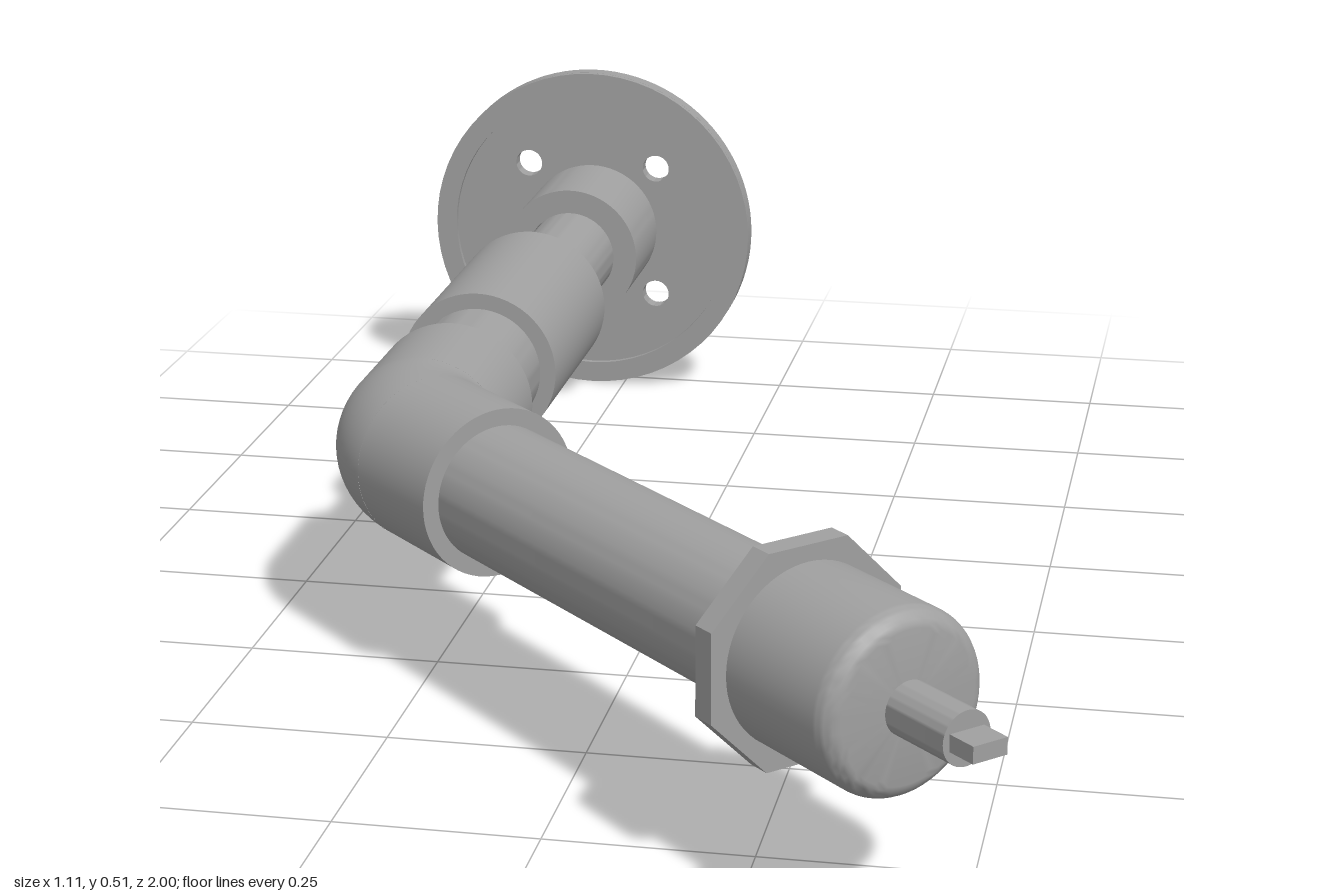
import * as THREE from 'three';
import { toCreasedNormals } from 'three/addons/utils/BufferGeometryUtils.js';

const metal = new THREE.MeshStandardMaterial({ color: 0xa0a0a0 });
metal.name = 'grey metal';

const X = -0.302, Y = 0.255;      // axis of the straight run
const BEND_Z = 0.147;             // where the two pipe axes meet
const ELBOW_R = 0.11;
const HOLES = [[-1, -1], [1, -1], [1, 1], [-1, 1]];

function add(parent, name, geometry) {
  const mesh = new THREE.Mesh(geometry, metal);
  mesh.name = name;
  parent.add(mesh);
  return mesh;
}

// Turned part along z, from [radius, z] pairs
function turned(parent, name, points, sides = 64) {
  const g = new THREE.LatheGeometry(points.map(([r, z]) => new THREE.Vector2(r, z)), sides);
  g.rotateX(Math.PI / 2);
  return add(parent, name, toCreasedNormals(g, 0.6));
}

function rod(parent, name, r, z0, z1) {
  return turned(parent, name, [[0, z0], [r, z0], [r, z1], [0, z1]]);
}

function sleeve(parent, name, r, inner, z0, z1) {
  return turned(parent, name, [[inner, z0], [r, z0], [r, z1], [inner, z1], [inner, z0]]);
}

function circle(PathType, x, y, r) {
  const path = new PathType();
  path.absarc(x, y, r, 0, Math.PI * 2, false);
  return path;
}

export function createModel() {
  const model = new THREE.Group();
  model.name = 'jointed pipe arm';

  // Straight run, along z
  const run = new THREE.Group();
  run.name = 'straight run';
  run.position.set(X, Y, 0);
  model.add(run);

  // Wall flange with a centre bore and four bolt holes
  const disc = circle(THREE.Shape, 0, 0, 0.254);
  disc.holes.push(circle(THREE.Path, 0, 0, 0.068));
  for (const [sx, sy] of HOLES) disc.holes.push(circle(THREE.Path, sx * 0.103, sy * 0.103, 0.021));
  const plate = new THREE.ExtrudeGeometry(disc, { depth: 0.024, bevelEnabled: false, curveSegments: 48 });
  plate.translate(0, 0, -1);
  add(run, 'flange plate', toCreasedNormals(plate, 0.6));
  sleeve(run, 'flange rim', 0.254, 0.222, -0.98, -0.967);
  sleeve(run, 'flange hub', 0.104, 0.068, -0.98, -0.81);

  // Pipes and coupling
  sleeve(run, 'thin pipe', 0.067, 0.052, -0.88, -0.5);
  rod(run, 'coupling', 0.11, -0.54, -0.205);
  rod(run, 'thick pipe', 0.088, -0.22, -0.04);

  // Elbow: socket, quarter-angle bend about the inner corner, second socket
  const setback = ELBOW_R * Math.tan(Math.PI / 8);
  rod(run, 'elbow rear socket', ELBOW_R, -0.06, BEND_Z - setback);
  const bend = new THREE.TorusGeometry(ELBOW_R + 0.0002, ELBOW_R, 64, 20, Math.PI / 4);
  bend.applyMatrix4(new THREE.Matrix4().makeBasis(
    new THREE.Vector3(-1, 0, 0), new THREE.Vector3(0, 0, 1), new THREE.Vector3(0, 1, 0)));
  bend.translate(ELBOW_R, 0, BEND_Z - setback);
  add(run, 'elbow bend', bend);

  // Angled arm, local z running along its axis from the bend
  const arm = new THREE.Group();
  arm.name = 'angled arm';
  arm.position.set(X, Y, BEND_Z);
  arm.rotation.y = Math.PI / 4;
  model.add(arm);
  rod(arm, 'elbow front socket', ELBOW_R, setback, 0.209);
  rod(arm, 'arm pipe', 0.088, 0.19, 0.85);

  // Eight-sided nut with a flat on top
  const nut = new THREE.CylinderGeometry(0.1407, 0.1407, 0.03, 8);
  nut.rotateY(Math.PI / 8);
  nut.rotateX(Math.PI / 2);
  nut.translate(0, 0, 0.846);
  add(arm, 'nut', toCreasedNormals(nut, 0.3));

  // End cap with a rounded front edge
  const capProfile = [[0, 0.855], [0.11, 0.855]];
  for (let i = 0; i <= 8; i++) {
    const a = (i / 8) * Math.PI / 2;
    capProfile.push([0.085 + 0.025 * Math.cos(a), 1.019 + 0.025 * Math.sin(a)]);
  }
  capProfile.push([0, 1.044]);
  turned(arm, 'end cap', capProfile);

  // Stem and flat tab
  rod(arm, 'stem', 0.032, 1.03, 1.142);
  add(arm, 'tab', new THREE.BoxGeometry(0.046, 0.02, 0.05)).position.z = 1.156;

  return model;
}
